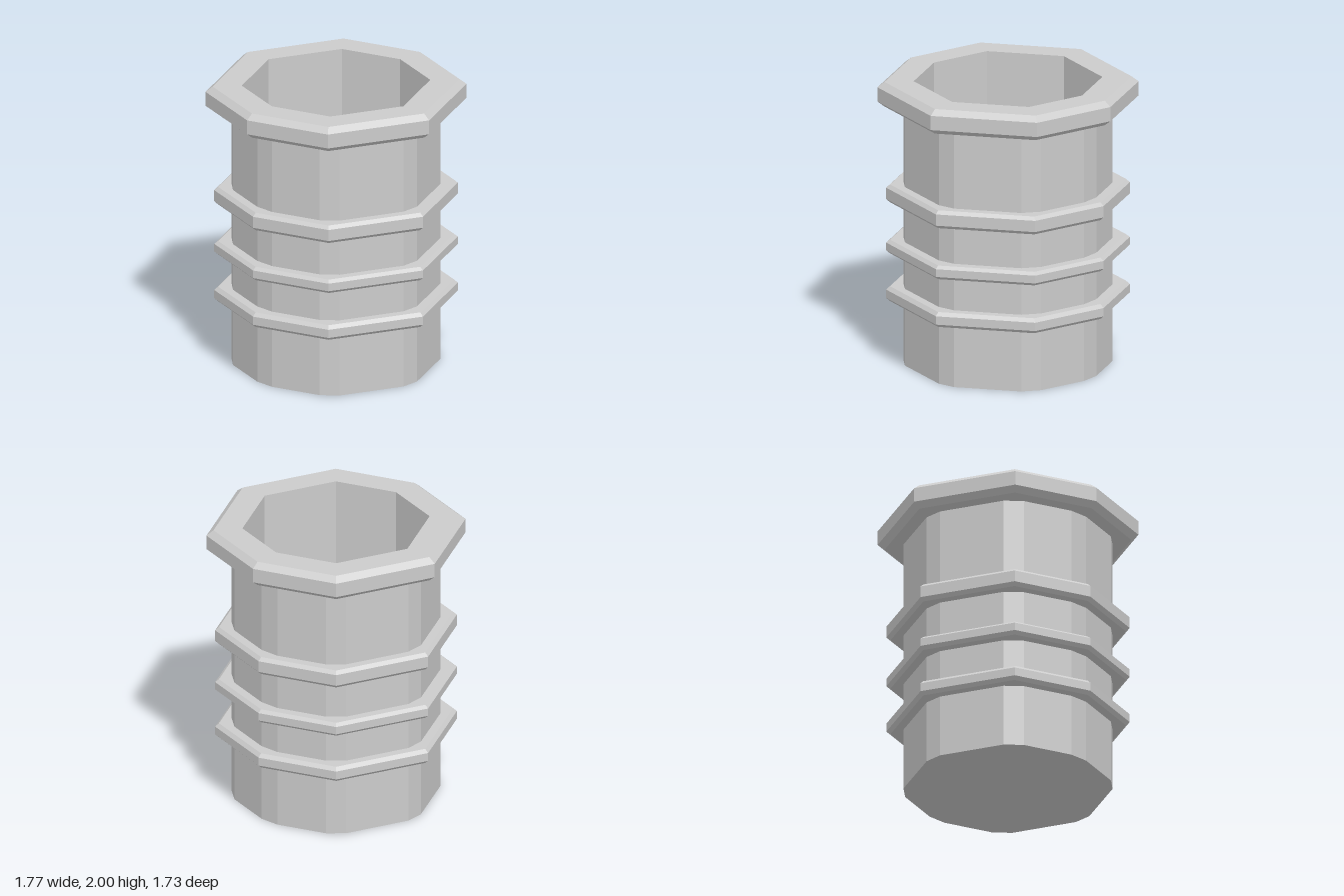
import * as THREE from 'three';

const material = new THREE.MeshStandardMaterial({ color: 0xcccccc, flatShading: true });

// Mirrors the [x, z] corners of one quadrant (running from +x to +z) into a full outline.
function mirrorQuadrant(quadrant) {
  const half = [...quadrant, ...quadrant.map(([x, z]) => [-x, z]).reverse()];
  const all = [...half, ...half.map(([x, z]) => [x, -z]).reverse()];
  return all.filter(([x, z], i) => {
    const [px, pz] = all[(i + all.length - 1) % all.length];
    return Math.hypot(x - px, z - pz) > 1e-6;
  });
}

// Sweeps an outline through [scale, y] steps; a scale of 0 closes an end.
function loft(name, outline, profile) {
  const n = outline.length;
  const positions = [];
  const point = ([s, y], j) => [outline[j % n][0] * s, y, outline[j % n][1] * s];
  for (let i = 0; i < profile.length - 1; i++) {
    const low = profile[i], high = profile[i + 1];
    for (let j = 0; j < n; j++) {
      const a = point(low, j), b = point(low, j + 1);
      const c = point(high, j), d = point(high, j + 1);
      if (low[0] > 0) positions.push(...a, ...c, ...b);
      if (high[0] > 0) positions.push(...b, ...c, ...d);
    }
  }
  const geometry = new THREE.BufferGeometry();
  geometry.setAttribute('position', new THREE.Float32BufferAttribute(positions, 3));
  geometry.computeVertexNormals();
  const mesh = new THREE.Mesh(geometry, material);
  mesh.name = name;
  return mesh;
}

export function createModel() {
  const group = new THREE.Group();
  group.name = 'ribbedBarrel';

  const octagon = mirrorQuadrant([[1, 0], [0.657, 0.762], [0, 0.977]]);
  const bevelledOctagon = mirrorQuadrant([[0.703, 0.065], [0.513, 0.49], [0.41, 0.58], [0.07, 0.692]]);

  // Body with closed bottom
  group.add(loft('body', bevelledOctagon, [[0, 0], [1, 0], [1, 1.9]]));

  // Bevelled rim, continuing down as the inner wall and floor
  group.add(loft('rimAndInnerWall', octagon, [
    [0.69, 1.825], [0.835, 1.825], [0.883, 1.862], [0.883, 1.963],
    [0.835, 2], [0.638, 2], [0.638, 0.1], [0, 0.1],
  ]));

  // Bands: bottom, lower bevel, upper bevel, top
  const bands = [
    ['lowerBand', 0.44, 0.463, 0.522, 0.546],
    ['middleBand', 0.78, 0.802, 0.857, 0.877],
    ['upperBand', 1.143, 1.167, 1.247, 1.27],
  ];
  for (const [name, y0, y1, y2, y3] of bands) {
    group.add(loft(name, octagon, [
      [0.69, y0], [0.798, y0], [0.824, y1], [0.824, y2], [0.798, y3], [0.69, y3],
    ]));
  }
  return group;
}
